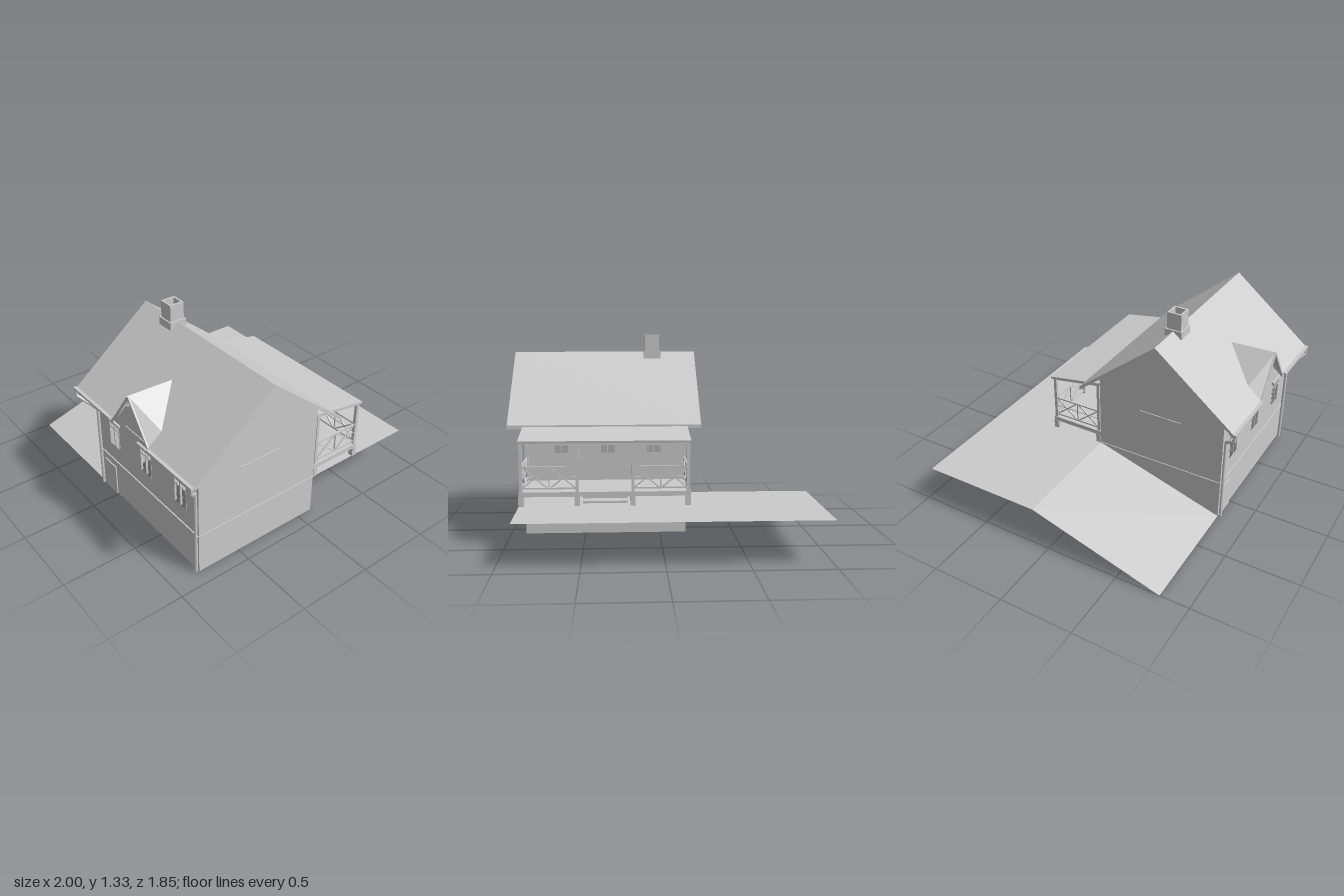
import * as THREE from 'three';

const mat = new THREE.MeshStandardMaterial({ color: 0xcccccc, side: THREE.DoubleSide });
const V = (x, y, z) => new THREE.Vector3(x, y, z);

export function createModel() {
  const root = new THREE.Group();
  root.name = 'house';

  const add = (name, geo, parent = root) => {
    const m = new THREE.Mesh(geo, mat);
    m.name = name;
    parent.add(m);
    return m;
  };
  const group = (name) => {
    const g = new THREE.Group();
    g.name = name;
    root.add(g);
    return g;
  };
  // Box given by its min and max on each axis
  const box = (name, x0, x1, y0, y1, z0, z1, parent) => {
    const m = add(name, new THREE.BoxGeometry(x1 - x0, y1 - y0, z1 - z0), parent);
    m.position.set((x0 + x1) / 2, (y0 + y1) / 2, (z0 + z1) / 2);
    return m;
  };
  // Square bar between two points
  const beam = (name, a, b, w, h, parent) => {
    const m = add(name, new THREE.BoxGeometry(w, h, a.distanceTo(b)), parent);
    m.position.copy(a).add(b).multiplyScalar(0.5);
    m.lookAt(b);
    return m;
  };
  const shape = (pts) => new THREE.Shape(pts.map(([x, y]) => new THREE.Vector2(x, y)));
  const rect = (x0, x1, y0, y1) => [[x0, y0], [x1, y0], [x1, y1], [x0, y1]];
  const sheet = (...pts) => {
    const g = new THREE.BufferGeometry().setFromPoints(pts);
    g.computeVertexNormals();
    return g;
  };

  const X0 = -0.18, X1 = 0.9, ZF = 0.8, ZB = -0.11, RIDGE = 0.345, MID = 0.36;
  const roofY = (z) => 1.205 - Math.abs(z - RIDGE) * 0.811;

  // Ground: flat behind the house, sloping down beside it
  const ground = (name, x0, x1, za, ya, zb, yb) => add(name, sheet(
    V(x0, ya, za), V(x0, yb, zb), V(x1, yb, zb), V(x0, ya, za), V(x1, yb, zb), V(x1, ya, za)));
  ground('flatGround', -1, X1, -0.93, 0.275, ZB, 0.275);
  ground('slopedGround', -1, X0, ZB, 0.275, ZF, 0);

  // Walls, open at the bottom, with window openings
  const windowXs = [0, MID, 0.72];
  const wall = (name, outline, holes, z) => {
    const s = shape(outline);
    s.holes = holes.map((h) => shape(rect(...h)));
    const m = add(name, new THREE.ShapeGeometry(s));
    m.position.z = z;
    return m;
  };
  wall('frontWall',
    [[X0, 0], [X1, 0], [X1, 0.81], [0.53, 0.81], [MID, 1.0], [0.19, 0.81], [X0, 0.81]],
    windowXs.map((x) => [x - 0.06, x + 0.06, 0.4, 0.58]), ZF);
  wall('backWall', rect(X0, X1, 0, 0.81),
    [[-0.07, 0.12, 0.46, 0.6], [0.29, 0.44, 0.37, 0.6], [0.6, 0.79, 0.46, 0.6]], ZB)
    .geometry.scale(-1, 1, 1).rotateY(Math.PI);
  for (const x of [X0, X1]) {
    const g = new THREE.ShapeGeometry(shape([[-ZF, 0], [-ZB, 0], [-ZB, 0.81], [-RIDGE, 1.18], [-ZF, 0.81]]));
    add('gableWall', g.rotateY(Math.PI / 2)).position.x = x;
  }

  // Front windows: frame bars and lintels
  for (const x of windowXs) {
    const w = group('frontWindow');
    const bar = (x0, x1, y0, y1) => box('windowBar', x + x0, x + x1, y0, y1, ZF - 0.012, ZF + 0.002, w);
    bar(-0.06, -0.053, 0.4, 0.58);
    bar(0.053, 0.06, 0.4, 0.58);
    bar(-0.06, 0.06, 0.535, 0.543);
    bar(-0.004, 0.004, 0.4, 0.58);
    for (const d of [-0.03, 0.03]) bar(d - 0.002, d + 0.002, 0.54, 0.58);
    box('lintel', x - 0.075, x + 0.075, 0.59, 0.606, ZF, ZF + 0.015, w);
  }

  // Door and thin wall trims
  box('cellarDoor', -0.145, -0.01, 0, 0.222, ZF, ZF + 0.008);
  box('frontBand', X0, X1, 0.274, 0.282, ZF, ZF + 0.008);
  for (const z of [ZF, ZB]) box('longTrim', 0.15, 0.57, 0.64, 0.65, z - 0.006, z + 0.006);
  for (const x of [X0, X1]) {
    box('gableTrim', x - 0.006, x + 0.006, 0.64, 0.65, 0.2, 0.5);
    box('gableBand', x - 0.006, x + 0.006, 0.274, 0.282, ZB, ZF);
  }

  // Main roof: slabs drawn in plan and dropped onto the slope
  const slab = (name, outline) => {
    const g = new THREE.ExtrudeGeometry(shape(outline), { depth: 0.025, bevelEnabled: false });
    const p = g.attributes.position;
    for (let i = 0; i < p.count; i++) {
      const z = p.getY(i);
      p.setXYZ(i, p.getX(i), roofY(z) - p.getZ(i), z);
    }
    g.computeVertexNormals();
    add(name, g);
  };
  slab('frontRoof', [[-0.27, RIDGE], [1, RIDGE], [1, 0.9], [0.55, 0.9], [0.55, 0.8],
    [MID, 0.585], [0.17, 0.8], [0.17, 0.9], [-0.27, 0.9]]);
  slab('backRoof', rect(-0.27, 1, -0.215, RIDGE));

  // Dormer roof over the front gable
  for (const s of [-1, 1]) {
    const peak = V(MID, 1.02, 0.895), back = V(MID, 1.01, 0.585);
    const eave = V(MID + s * 0.19, 0.755, 0.895), low = V(MID + s * 0.19, 0.836, 0.8);
    add('dormerRoof', s > 0 ? sheet(peak, eave, low, peak, low, back) : sheet(peak, low, eave, peak, back, low));
    beam('dormerBargeboard', peak.clone().setY(1.012), eave.clone().setY(0.747), 0.012, 0.014);
  }

  // Chimney with a hollow flue
  const tube = (name, half, hole, y0, y1) => {
    const s = shape(rect(-half, half, -half, half));
    s.holes.push(shape(rect(-hole, hole, -hole, hole)));
    const g = new THREE.ExtrudeGeometry(s, { depth: y1 - y0, bevelEnabled: false });
    add(name, g.rotateX(-Math.PI / 2)).position.set(0.033, y0, RIDGE);
  };
  tube('chimneyBase', 0.06, 0.04, 1.16, 1.212);
  tube('chimneyStack', 0.05, 0.037, 1.16, 1.325);

  // Gutters and downpipes, mirrored about the house middle
  for (const s of [-1, 1]) {
    const at = (d) => MID + s * d;
    beam('gutter', V(at(0.2), 0.753, 0.908), V(at(0.638), 0.753, 0.908), 0.022, 0.016);
    const path = new THREE.CurvePath();
    const pts = [V(at(0.625), 0.75, 0.908), V(at(0.625), 0.7, 0.908), V(at(0.53), 0.61, 0.815), V(at(0.53), 0.005, 0.815)];
    for (let i = 0; i < 3; i++) path.add(new THREE.LineCurve3(pts[i], pts[i + 1]));
    add('downpipe', new THREE.TubeGeometry(path, 48, 0.011, 8));
  }

  // Porch: floor, posts on feet, sloping roof
  const porch = group('porch');
  const postXs = [-0.165, 0.185, 0.535, 0.885], ZO = -0.48, ZI = -0.13;
  box('porchFloor', X0, X1, 0.335, 0.365, -0.495, ZB, porch);
  beam('porchRoof', V(MID, 0.75, -0.108), V(MID, 0.682, -0.508), X1 - X0, 0.015, porch);
  const post = (x, z, top) => {
    box('porchPost', x - 0.01, x + 0.01, 0.36, top, z - 0.01, z + 0.01, porch);
    box('postFoot', x - 0.017, x + 0.017, 0.272, 0.337, z - 0.017, z + 0.017, porch);
  };
  for (const x of postXs) post(x, ZO, 0.682);
  for (const x of [postXs[0], postXs[3]]) {
    post(x, ZI, 0.742);
    beam('roofRafter', V(x, 0.735, ZI), V(x, 0.677, ZO), 0.015, 0.015, porch);
  }
  beam('roofBeam', V(postXs[0], 0.675, ZO), V(postXs[3], 0.675, ZO), 0.015, 0.015, porch);

  // Railings: three rails with two crossed panels per bay
  const railing = (xa, za, xb, zb) => {
    const p = (t, y) => V(xa + (xb - xa) * t, y, za + (zb - za) * t);
    for (const y of [0.387, 0.52]) beam('rail', p(0, y), p(1, y), 0.012, 0.01, porch);
    beam('midRail', p(0, 0.457), p(1, 0.457), 0.005, 0.005, porch);
    beam('railPost', p(0.5, 0.387), p(0.5, 0.52), 0.008, 0.008, porch);
    for (const t of [0, 0.5]) {
      beam('brace', p(t + 0.03, 0.39), p(t + 0.47, 0.515), 0.008, 0.008, porch);
      beam('brace', p(t + 0.03, 0.515), p(t + 0.47, 0.39), 0.008, 0.008, porch);
    }
  };
  for (const i of [0, 2]) railing(postXs[i], ZO, postXs[i + 1], ZO);
  for (const x of [postXs[0], postXs[3]]) railing(x, ZI, x, ZO);

  // Steps up to the porch and the block beneath it
  box('porchBase', 0.21, 0.51, 0.285, 0.335, -0.28, ZB, porch);
  box('upperStep', 0.22, 0.5, 0.31, 0.325, -0.43, -0.38, porch);
  box('lowerStep', 0.22, 0.5, 0.288, 0.302, -0.475, -0.43, porch);

  return root;
}
